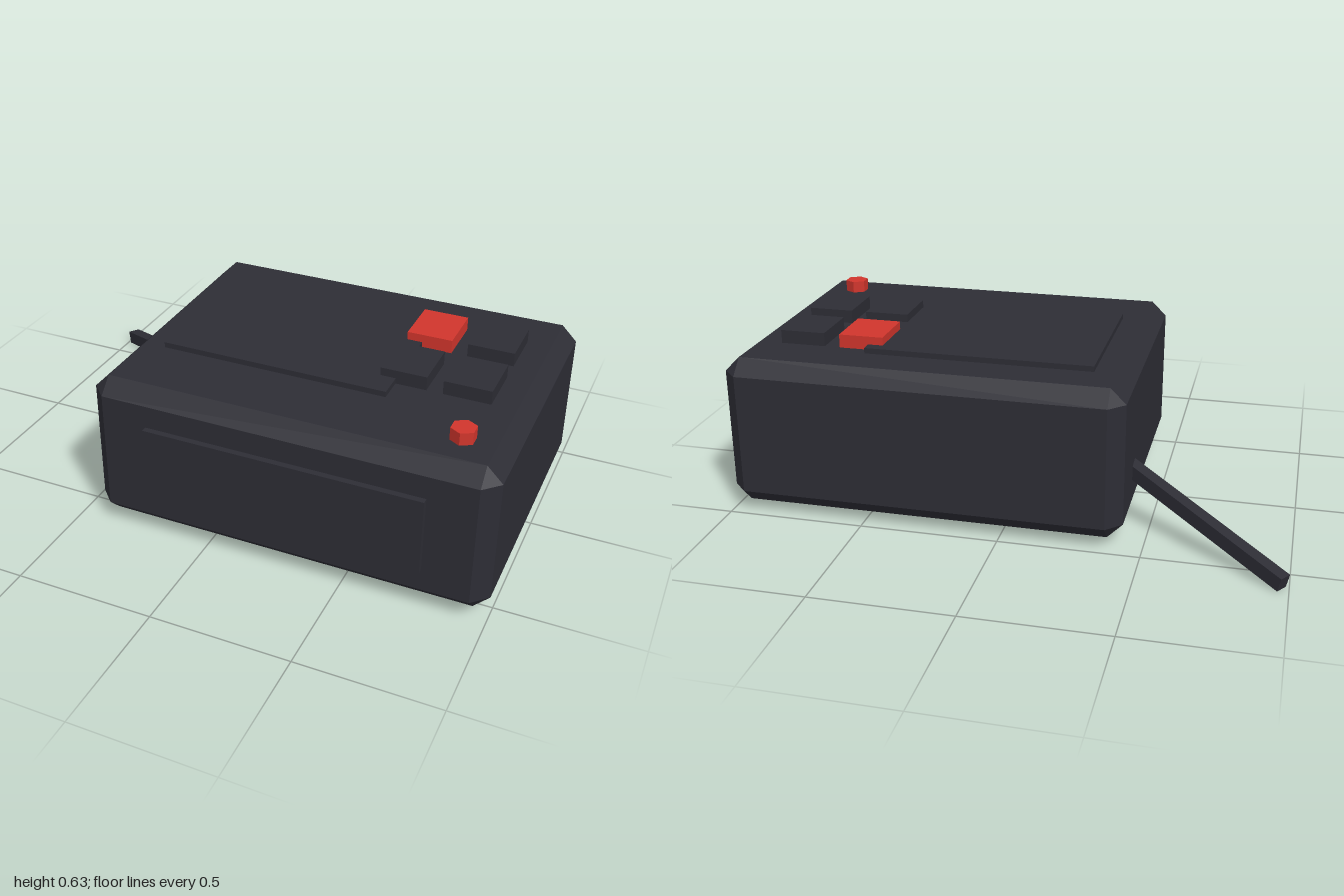
import * as THREE from 'three';
import { ConvexGeometry } from 'three/addons/geometries/ConvexGeometry.js';

// Box with flat chamfers on every edge and corner
function chamferedBox(w, h, d, c) {
  const points = [];
  for (const sx of [-1, 1]) for (const sy of [-1, 1]) for (const sz of [-1, 1]) {
    const x = w / 2, y = h / 2, z = d / 2;
    points.push(
      new THREE.Vector3(sx * x, sy * (y - c), sz * (z - c)),
      new THREE.Vector3(sx * (x - c), sy * y, sz * (z - c)),
      new THREE.Vector3(sx * (x - c), sy * (y - c), sz * z)
    );
  }
  return new ConvexGeometry(points);
}

export function createModel() {
  const model = new THREE.Group();
  model.name = 'tabletopDevice';
  const dark = new THREE.MeshStandardMaterial({ color: 0x2d2d35 });
  dark.name = 'charcoal';
  const red = new THREE.MeshStandardMaterial({ color: 0xd0352c });
  red.name = 'signal red';

  const add = (name, geometry, material, x, y, z) => {
    const mesh = new THREE.Mesh(geometry, material);
    mesh.name = name;
    mesh.position.set(x, y, z);
    model.add(mesh);
    return mesh;
  };
  // Box given by its low and high limits on each axis
  const addBox = (name, material, [x0, x1], [y0, y1], [z0, z1]) =>
    add(name, new THREE.BoxGeometry(x1 - x0, y1 - y0, z1 - z0), material,
      (x0 + x1) / 2, (y0 + y1) / 2, (z0 + z1) / 2);

  // Casing
  add('body', chamferedBox(1.43, 0.55, 1.1, 0.055), dark, 0.285, 0.305, 0.058);

  // Raised panels on the top and front
  addBox('topPanel', dark, [-0.295, 0.53], [0.57, 0.6], [-0.3, 0.305]);
  addBox('frontPanel', dark, [-0.21, 0.78], [0.168, 0.443], [0.59, 0.63]);

  // Two by two block of keys, one of them red
  [[0.475, 0.638], [0.695, 0.86]].forEach((xs, col) => {
    [[-0.26, -0.068], [0.015, 0.208]].forEach((zs, row) => {
      const accent = col === 0 && row === 0;
      addBox(accent ? 'redKey' : 'key', accent ? red : dark, xs, [0.57, 0.629], zs);
    });
  });

  // Six-sided indicator lamp
  const lamp = new THREE.CylinderGeometry(0.044, 0.044, 0.055, 6).toNonIndexed();
  lamp.computeVertexNormals();
  add('indicatorLamp', lamp, red, 0.835, 0.5965, 0.44);

  // Square cord sloping down from the side to the ground
  const start = new THREE.Vector3(-0.4, 0.206, -0.2);
  const end = new THREE.Vector3(-0.981, 0.025, -0.605);
  const middle = start.clone().add(end).multiplyScalar(0.5);
  const cord = add('cord', new THREE.BoxGeometry(0.046, 0.051, start.distanceTo(end)),
    dark, middle.x, middle.y, middle.z);
  cord.lookAt(end);

  return model;
}
